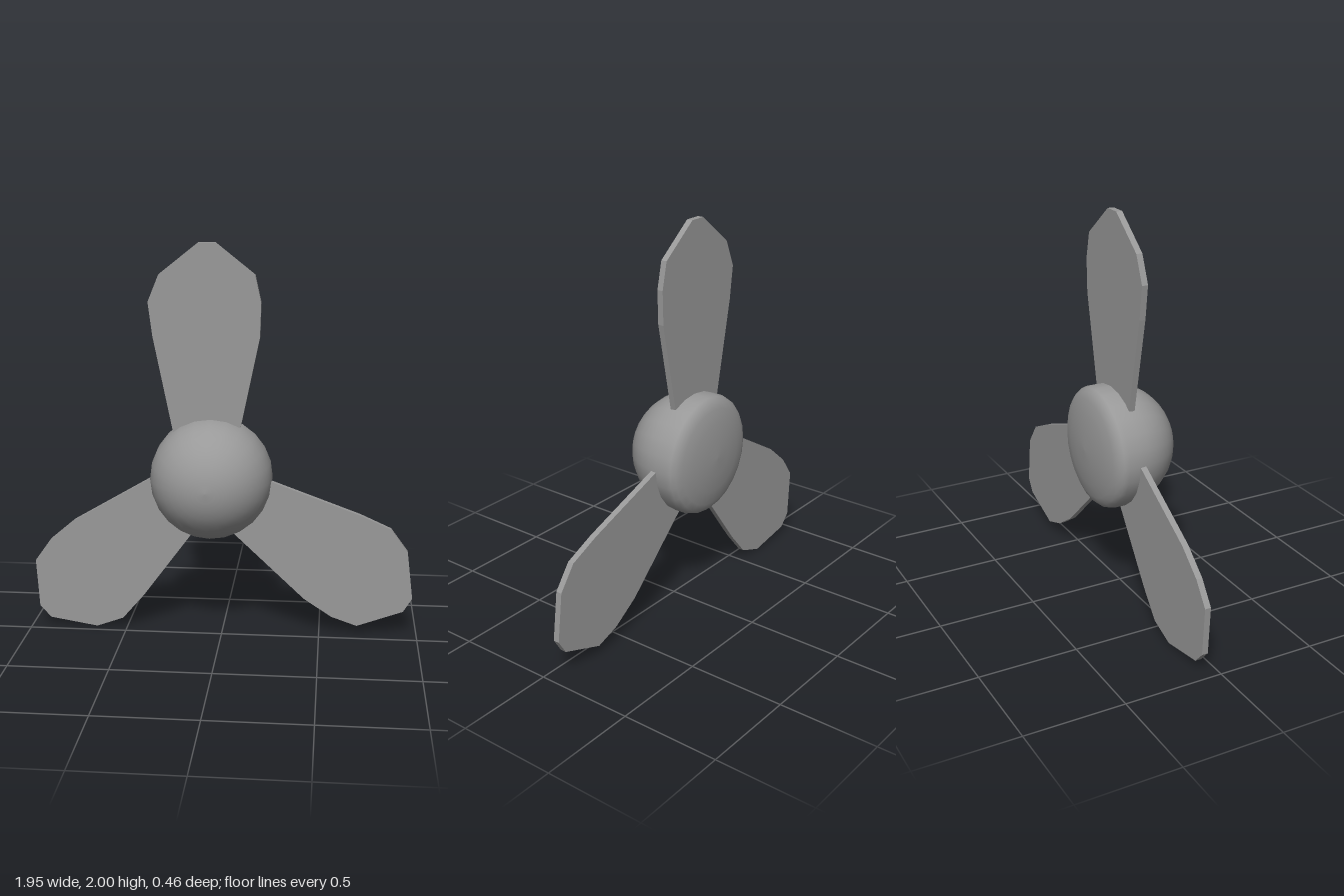
import * as THREE from 'three';

export function createModel() {
  const model = new THREE.Group();
  const grey = new THREE.MeshStandardMaterial({ color: 0x999999 });
  grey.name = 'grey';

  // Hub: round nose at the front, shallow rounded cap at the back
  const R = 0.31, equator = -0.08;
  const profile = [
    [0, -0.23], [0.09, -0.227], [0.18, -0.216], [0.25, -0.201],
    [0.285, -0.184], [0.303, -0.164], [0.31, -0.14],
  ].map(([r, z]) => new THREE.Vector2(r, z));
  for (let i = 0; i <= 10; i++) {
    const a = (i / 10) * Math.PI / 2;
    profile.push(new THREE.Vector2(i === 10 ? 0 : R * Math.cos(a), equator + R * Math.sin(a)));
  }
  const hubGeometry = new THREE.LatheGeometry(profile, 24);
  hubGeometry.rotateX(Math.PI / 2);
  const hub = new THREE.Mesh(hubGeometry, grey);
  hub.name = 'hub';
  hub.position.set(-0.06, 0.815, 0);
  model.add(hub);

  // Blade outline, measured from the middle of its tip, root hidden in the hub
  const outline = [
    [0.0425, 0], [-0.0425, 0], [-0.237, -0.155], [-0.292, -0.29], [-0.27, -0.46],
    [-0.172, -0.94], [-0.152, -1.05], [0.143, -1.05], [0.168, -0.92],
    [0.263, -0.46], [0.268, -0.29], [0.238, -0.155],
  ].map(([x, y]) => new THREE.Vector2(x, y));
  const bladeGeometry = new THREE.ExtrudeGeometry(new THREE.Shape(outline), {
    depth: 0.031, bevelEnabled: false,
  });

  // Three blades: tip position and turn in degrees
  const blades = [
    ['topBlade', -0.078, 2, 0],
    ['leftBlade', 0.95, 0.172, -121.6],
    ['rightBlade', -0.932, 0.075, 132],
  ];
  for (const [name, x, y, turn] of blades) {
    const blade = new THREE.Mesh(bladeGeometry, grey);
    blade.name = name;
    blade.position.set(x, y, -0.082);
    blade.rotation.z = THREE.MathUtils.degToRad(turn);
    model.add(blade);
  }
  return model;
}
